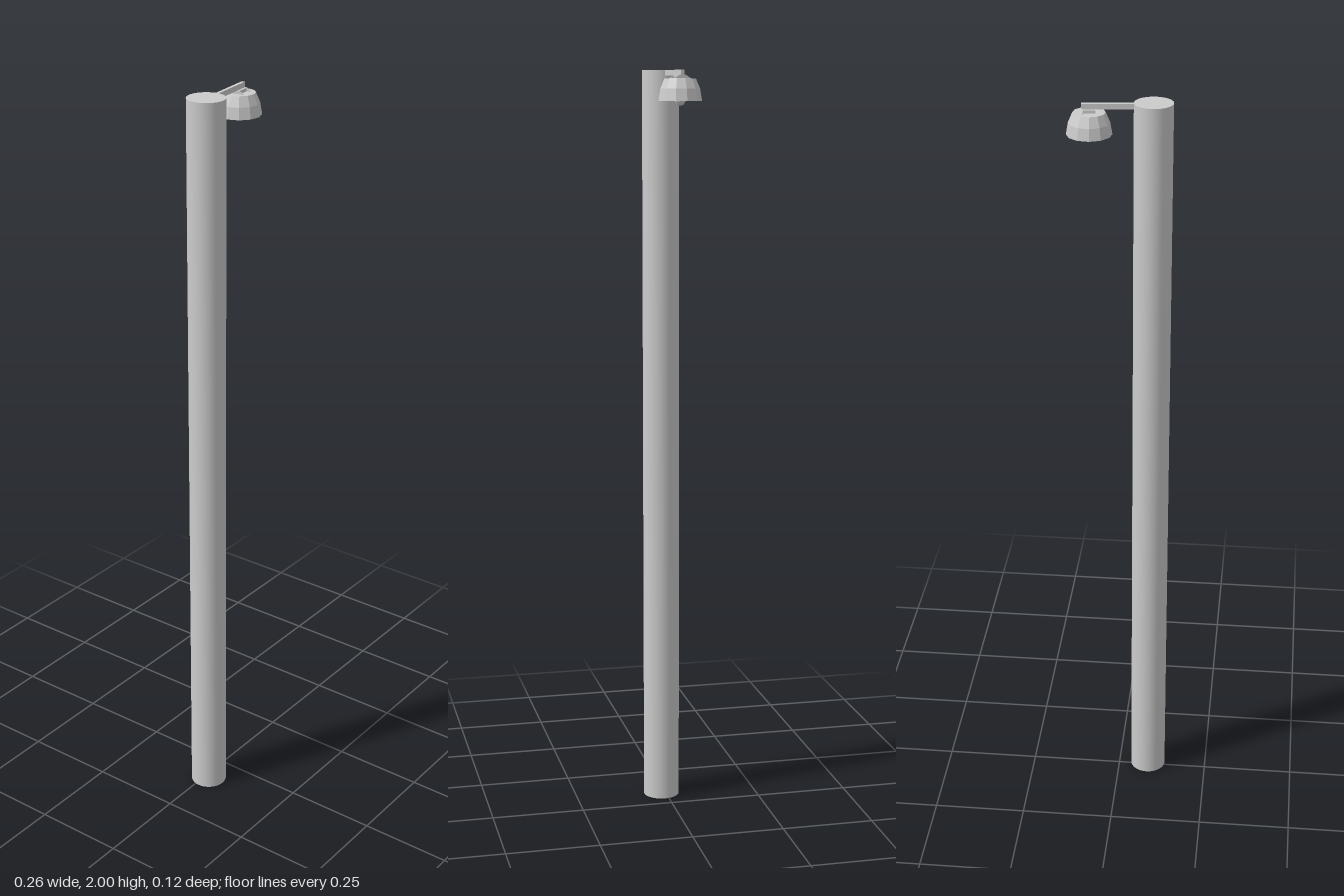
import * as THREE from 'three';

export function createModel() {
  const group = new THREE.Group();
  group.name = 'streetLamp';
  const smooth = new THREE.MeshStandardMaterial({ color: 0xcccccc });
  const flat = new THREE.MeshStandardMaterial({ color: 0xcccccc, flatShading: true, side: THREE.DoubleSide });

  const add = (name, geometry, material, x, y, z, parent = group) => {
    const mesh = new THREE.Mesh(geometry, material);
    mesh.name = name;
    mesh.position.set(x, y, z);
    parent.add(mesh);
    return mesh;
  };
  const lathe = (points, sides) =>
    new THREE.LatheGeometry(points.map(([r, y]) => new THREE.Vector2(r, y)), sides);

  // Tall round pole
  add('pole', new THREE.CylinderGeometry(0.049, 0.049, 2, 48), smooth, -0.083, 1, 0.011);

  // Lamp head, turned slightly about the pole together with its arm
  const head = new THREE.Group();
  head.name = 'lampHead';
  head.position.set(0.074, 0, -0.005);
  head.rotation.y = 0.1;
  group.add(head);

  // Slim arm reaching out from the pole top
  add('arm', new THREE.BoxGeometry(0.145, 0.014, 0.009), flat, -0.053, 1.992, 0, head);

  // Saddle under the arm, with a pointed gusset at each end
  add('saddle', new THREE.BoxGeometry(0.036, 0.012, 0.022), flat, 0, 1.979, 0, head);
  const gusset = new THREE.Shape([
    new THREE.Vector2(-0.027, 0), new THREE.Vector2(0.027, 0),
    new THREE.Vector2(0.008, 0.011), new THREE.Vector2(-0.008, 0.011),
  ]);
  for (const side of [-1, 1]) {
    const mesh = add('gusset', new THREE.ExtrudeGeometry(gusset, { depth: 0.004, bevelEnabled: false }),
      flat, side * 0.018 - 0.002, 1.975, 0, head);
    mesh.rotation.y = Math.PI / 2;
  }

  // Faceted bell shade with an outer wall, thin rim and inner wall
  add('shade', lathe([
    [0, 1.972], [0.025, 1.966], [0.036, 1.964], [0.047, 1.946], [0.053, 1.921],
    [0.057, 1.921], [0.052, 1.951], [0.041, 1.977], [0.028, 1.977], [0, 1.976],
  ], 12), flat, 0, 0, 0, head);

  // Bulb hanging inside the shade
  add('bulb', lathe([
    [0, 1.908], [0.009, 1.911], [0.014, 1.919], [0.015, 1.93], [0.010, 1.945], [0.009, 1.97],
  ], 10), flat, 0, 0, 0, head);

  return group;
}
